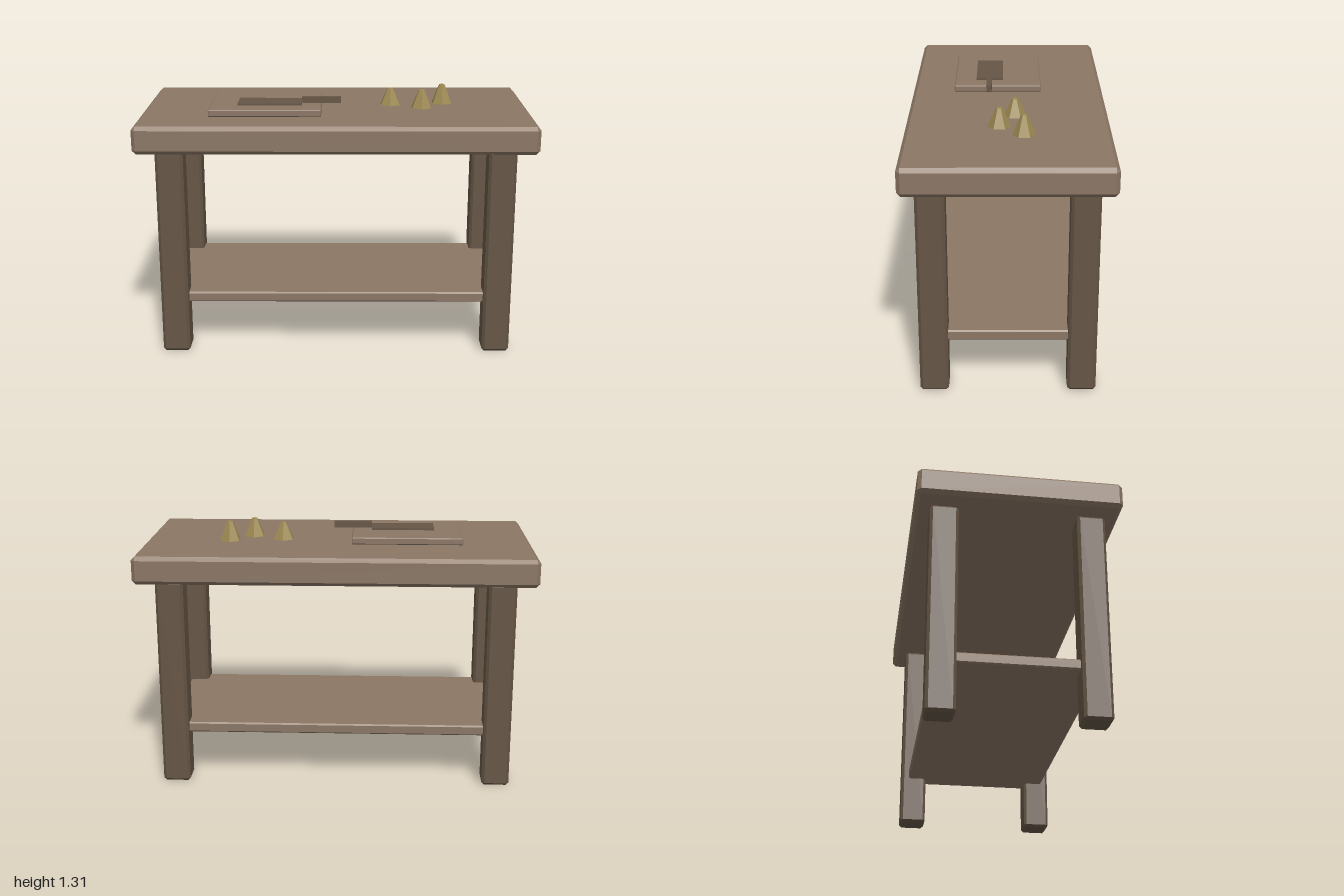
import * as THREE from 'three';
import { ConvexGeometry } from 'three/addons/geometries/ConvexGeometry.js';

// Box with all edges cut at 45 degrees
function chamferBox(w, h, d, c) {
  const pts = [];
  for (const x of [-1, 1]) for (const y of [-1, 1]) for (const z of [-1, 1]) {
    const X = x * w / 2, Y = y * h / 2, Z = z * d / 2;
    pts.push(
      new THREE.Vector3(X, Y - y * c, Z - z * c),
      new THREE.Vector3(X - x * c, Y, Z - z * c),
      new THREE.Vector3(X - x * c, Y - y * c, Z));
  }
  return new ConvexGeometry(pts);
}

export function createModel() {
  const model = new THREE.Group();
  model.name = 'workTable';

  const material = (name, color) => {
    const m = new THREE.MeshStandardMaterial({ color });
    m.name = name;
    return m;
  };
  const wood = material('lightWood', 0x8b7765);
  const darkWood = material('darkWood', 0x665646);
  const gold = material('dullGold', 0x9c8850);
  gold.flatShading = true;

  const add = (name, geometry, mat, x, y, z) => {
    const mesh = new THREE.Mesh(geometry, mat);
    mesh.name = name;
    mesh.position.set(x, y, z);
    model.add(mesh);
    return mesh;
  };

  // Table: top, lower shelf and four legs
  add('tableTop', chamferBox(2, 0.14, 1, 0.019), wood, 0, 1.145, 0);
  add('shelf', chamferBox(1.72, 0.053, 0.78, 0.007), wood, 0, 0.288, 0);
  const leg = chamferBox(0.14, 1.075, 0.14, 0.014);
  for (const x of [-0.83, 0.83]) for (const z of [-0.36, 0.36]) {
    add(`${z > 0 ? 'front' : 'back'}${x > 0 ? 'Left' : 'Right'}Leg`, leg, darkWood, x, 0.5375, z);
  }

  // Cutting board with a cleaver lying on it
  add('cuttingBoard', chamferBox(0.57, 0.036, 0.455, 0.005), wood, -0.36, 1.234, 0.053);
  add('cleaverBlade', new THREE.BoxGeometry(0.327, 0.01, 0.14), darkWood, -0.34, 1.257, 0.097);
  add('cleaverHandle', new THREE.BoxGeometry(0.2, 0.032, 0.028), darkWood, -0.075, 1.268, 0.098);

  // Three small six-sided cones
  const cones = [[0.285, -0.035, 0.087], [0.445, 0.042, 0.094], [0.56, -0.077, 0.099]];
  for (const [x, z, h] of cones) {
    add('cone', new THREE.CylinderGeometry(0.016, 0.057, h, 6), gold, x, 1.215 + h / 2, z);
  }

  return model;
}
